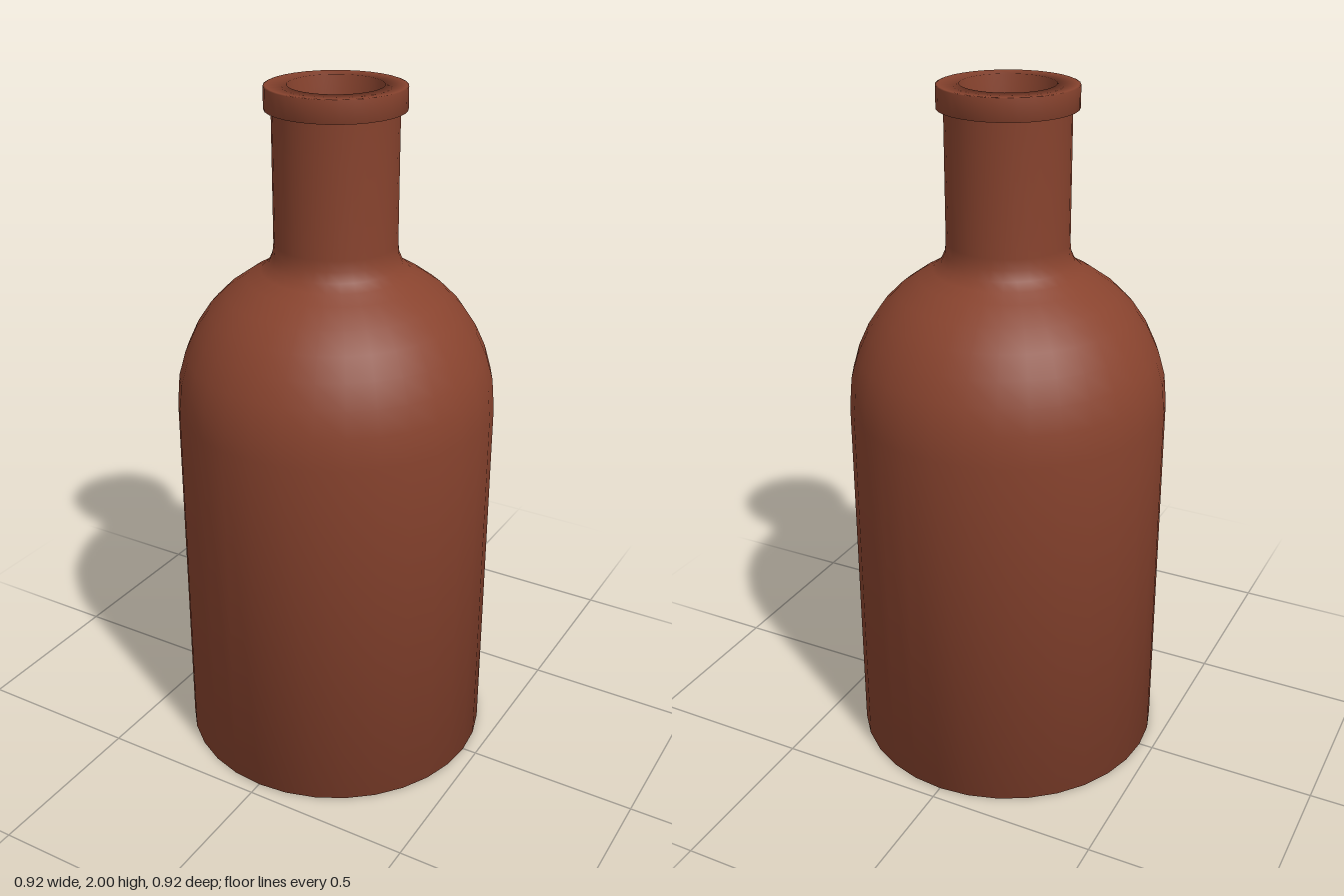
import * as THREE from 'three';

const SIDES = 32;

export function createModel() {
  const group = new THREE.Group();
  const brown = new THREE.MeshStandardMaterial({ color: 0x88432e });
  const grey = new THREE.MeshStandardMaterial({ color: 0xcccccc });

  // Outer wall from base centre up to the lip, then the inner wall back down
  const profile = [
    [0, 0], [0.458, 0], [0.458, 1.09],
    [0.45, 1.18], [0.43, 1.25], [0.4, 1.315], [0.36, 1.375], [0.31, 1.425], [0.25, 1.468],
    [0.21, 1.49], [0.188, 1.512], [0.176, 1.54], [0.173, 1.57],
    [0.173, 1.935], [0.193, 1.937], [0.193, 1.998], [0.188, 2],
    [0.13, 2], [0.13, 1.5],
    [0.23, 1.43], [0.33, 1.35], [0.39, 1.25], [0.42, 1.09], [0.42, 0.04],
  ].map(([r, y]) => new THREE.Vector2(r, y));
  const bottle = new THREE.Mesh(new THREE.LatheGeometry(profile, SIDES), brown);
  bottle.name = 'bottle';
  group.add(bottle);

  // Floor seen through the mouth
  const floor = new THREE.Mesh(new THREE.CircleGeometry(0.42, SIDES), grey);
  floor.rotation.x = -Math.PI / 2;
  floor.position.y = 0.04;
  floor.name = 'innerFloor';
  group.add(floor);

  return group;
}
